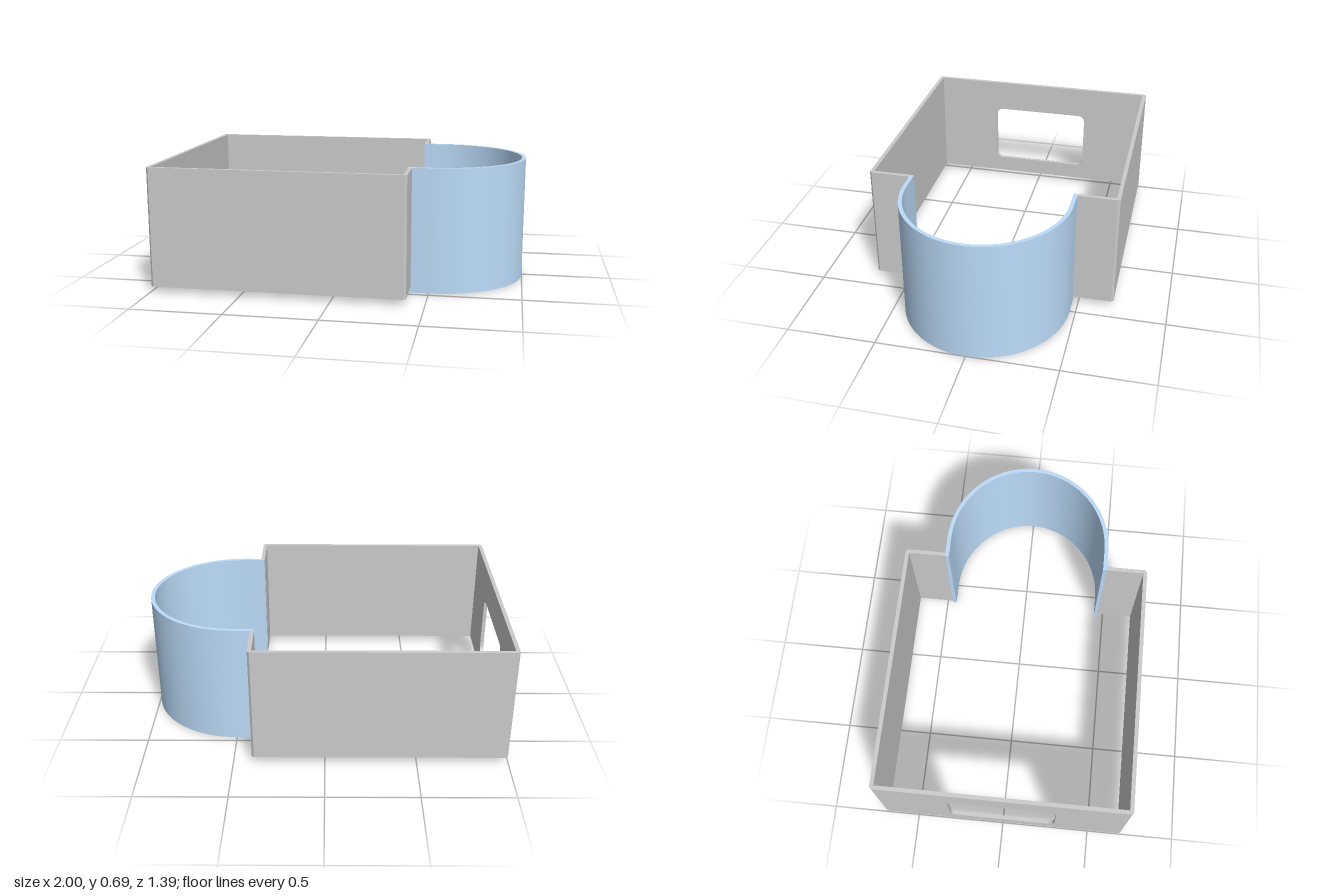
import * as THREE from 'three';
import { toCreasedNormals } from 'three/addons/utils/BufferGeometryUtils.js';

const BOTTOM = 0.03, TOP = 0.69, T = 0.022, C = 0.012;
const grey = new THREE.MeshStandardMaterial({ color: 0xcccccc });
const blue = new THREE.MeshStandardMaterial({ color: 0xbcdcfa });

function addMesh(group, name, geometry, material) {
  const mesh = new THREE.Mesh(geometry, material);
  mesh.name = name;
  group.add(mesh);
  return mesh;
}

// Extrude a plan outline (x, -z) upwards from y0 to y1
function extrudeUp(points, y0, y1) {
  const shape = new THREE.Shape(points.map(([x, y]) => new THREE.Vector2(x, y)));
  const geo = new THREE.ExtrudeGeometry(shape, { depth: y1 - y0, bevelEnabled: false });
  geo.rotateX(-Math.PI / 2);
  geo.translate(0, y0, 0);
  return toCreasedNormals(geo, 0.5);
}

function roundedRect(path, x0, y0, x1, y1, r) {
  path.moveTo(x0 + r, y0);
  path.lineTo(x1 - r, y0);
  path.absarc(x1 - r, y0 + r, r, -Math.PI / 2, 0);
  path.lineTo(x1, y1 - r);
  path.absarc(x1 - r, y1 - r, r, 0, Math.PI / 2);
  path.lineTo(x0 + r, y1);
  path.absarc(x0 + r, y1 - r, r, Math.PI / 2, Math.PI);
  path.lineTo(x0, y0 + r);
  path.absarc(x0 + r, y0 + r, r, Math.PI, Math.PI * 1.5);
  return path;
}

// Curved bay: straight lead-ins joined by a half ellipse
function bayOutline() {
  const outer = [[0.38, -0.467]], inner = [[0.38, -0.467 + T]];
  const n = 64, cx = 0.5;
  for (let i = 0; i <= n; i++) {
    const a = -Math.PI / 2 + (Math.PI * i) / n;
    outer.push([cx + 0.5 * Math.cos(a), 0.467 * Math.sin(a)]);
    inner.push([cx + (0.5 - T) * Math.cos(a), (0.467 - T) * Math.sin(a)]);
  }
  outer.push([0.38, 0.467]);
  inner.push([0.38, 0.467 - T]);
  return [...outer, ...inner.reverse()];
}

export function createModel() {
  const model = new THREE.Group();

  // Long walls with chamfered corners and a short return beside the bay
  const L = -1, R = 0.4, W = 0.697;
  for (const s of [1, -1]) {
    const outline = [
      [L, W - T], [L, W - C], [L + C, W], [R - C, W], [R, W - C], [R, 0.467],
      [R - T, 0.467], [R - T, W - T],
    ].map(([x, y]) => [x, y * s]);
    addMesh(model, s > 0 ? 'backWall' : 'frontWall', extrudeUp(outline, BOTTOM, TOP), grey);
  }

  // End wall with a rounded window
  const h = W - T;
  const wall = new THREE.Shape([
    new THREE.Vector2(-h, BOTTOM), new THREE.Vector2(h, BOTTOM),
    new THREE.Vector2(h, TOP), new THREE.Vector2(-h, TOP),
  ]);
  wall.holes.push(roundedRect(new THREE.Path(), -0.3, 0.13, 0.3, 0.5, 0.04));
  const endGeo = new THREE.ExtrudeGeometry(wall, { depth: T, bevelEnabled: false, curveSegments: 8 });
  endGeo.rotateY(Math.PI / 2);
  endGeo.translate(L, 0, 0);
  addMesh(model, 'windowWall', toCreasedNormals(endGeo, 0.5), grey);

  // Curved bay, reaching slightly below the walls
  addMesh(model, 'curvedBay', extrudeUp(bayOutline(), 0, TOP), blue);

  return model;
}
